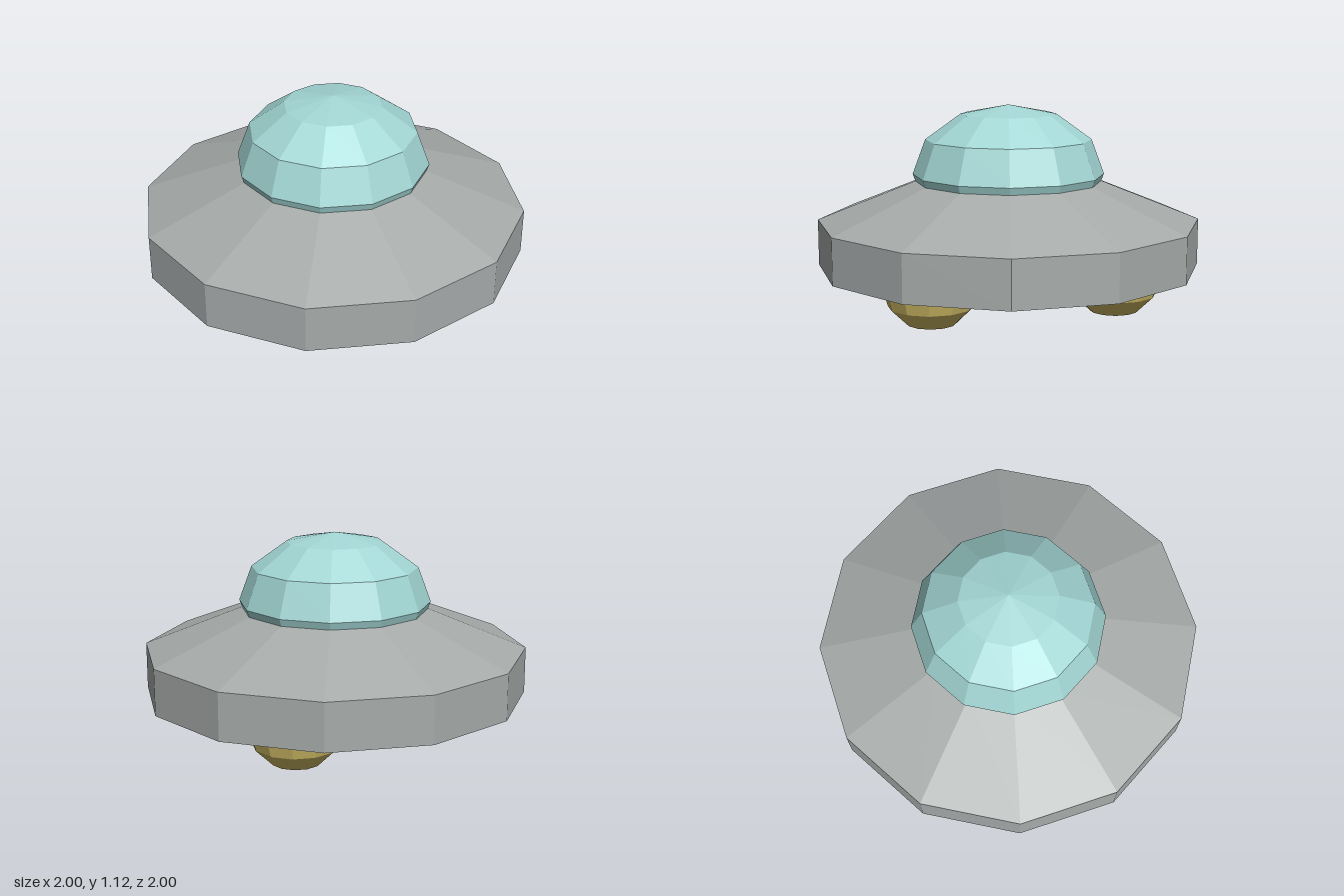
import * as THREE from 'three';

const SIDES = 12;
const HALF_STEP = Math.PI / SIDES; // turns a flat face to the front
const CORNER = 1 / Math.cos(HALF_STEP); // flat-to-centre distance -> corner radius

const makeMaterial = (name, color) => {
  const material = new THREE.MeshStandardMaterial({ color, flatShading: true });
  material.name = name;
  return material;
};

export function createModel() {
  const group = new THREE.Group();
  group.name = 'flyingSaucer';

  const hullGrey = makeMaterial('hullGrey', 0xa6abaa);
  const domeTeal = makeMaterial('domeTeal', 0xa2d6d4);
  const podGold = makeMaterial('podGold', 0xcdb964);

  const add = (name, geometry, material, x, y, z) => {
    const mesh = new THREE.Mesh(geometry, material);
    mesh.name = name;
    mesh.position.set(x, y, z);
    group.add(mesh);
    return mesh;
  };

  // Hull: straight rim with a sloping deck, closed underneath
  const profile = [[0, 0.25], [1, 0.25], [1, 0.5], [0.44, 0.73], [0, 0.73]]
    .map(([r, y]) => new THREE.Vector2(r * CORNER, y));
  add('hull', new THREE.LatheGeometry(profile, SIDES, HALF_STEP), hullGrey, 0, 0, 0);

  // Dome: flattened faceted ball, its lower part sunk into the deck
  const dome = new THREE.SphereGeometry(
    0.5 * CORNER, SIDES, 4, HALF_STEP, Math.PI * 2, 0, Math.PI * 2 / 3);
  dome.scale(1, 0.75 / CORNER, 1);
  add('dome', dome, domeTeal, 0, 0.75, 0);

  // Landing pods: three half balls under the hull
  const pod = new THREE.SphereGeometry(
    0.25 * CORNER, SIDES, 3, HALF_STEP, Math.PI * 2, Math.PI / 2, Math.PI / 2);
  pod.scale(1, 1 / CORNER, 1);
  [['rearPod', 0.31, -0.5], ['frontPod', 0.31, 0.5], ['sidePod', -0.565, 0]]
    .forEach(([name, x, z]) => add(name, pod, podGold, x, 0.25, z));

  return group;
}
